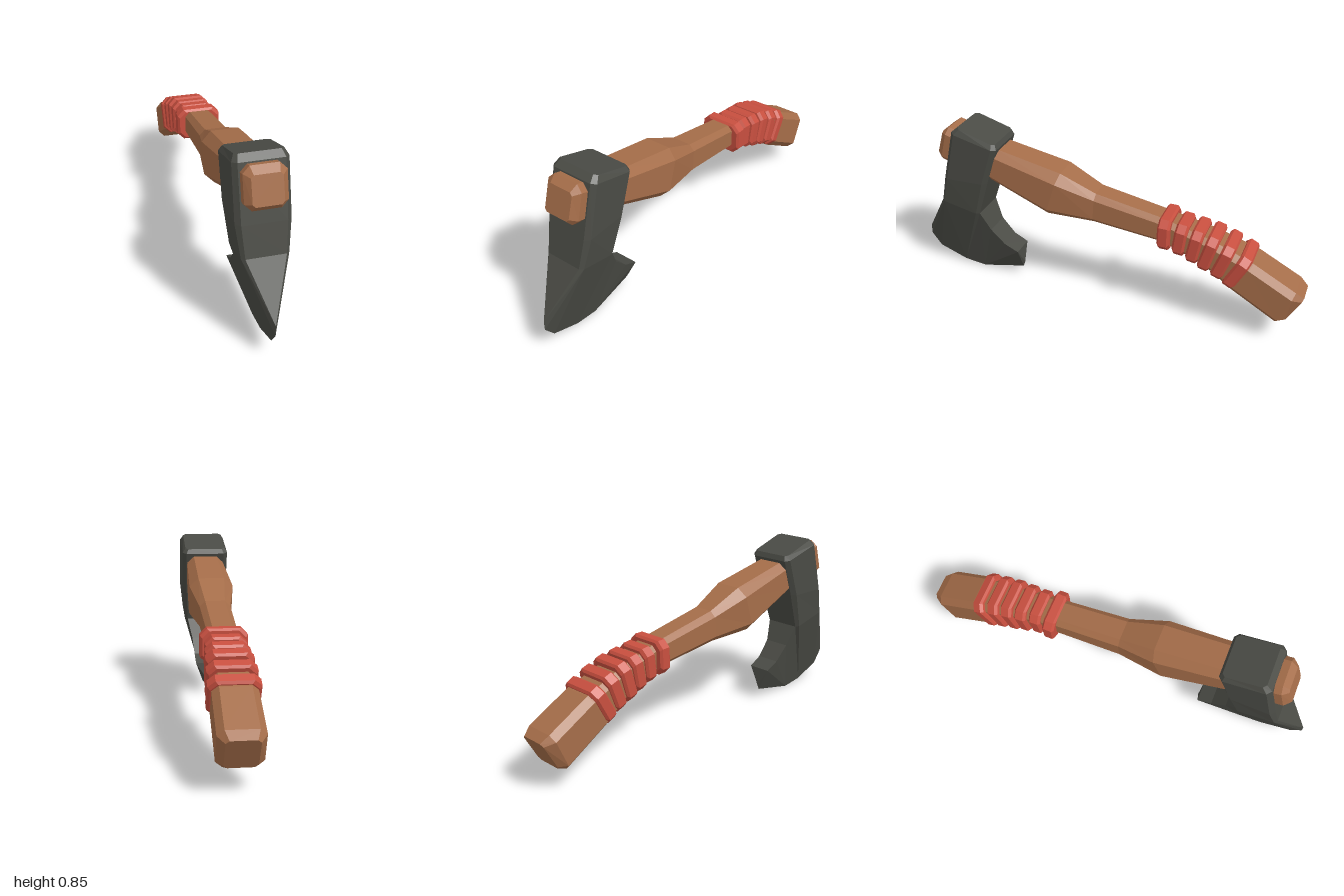
import * as THREE from 'three';

const material = (name, color) => {
  const m = new THREE.MeshStandardMaterial({ color });
  m.name = name;
  return m;
};

// Chamfered rectangle spanning two side-profile points a and b, given as [z, y]
function section(a, b, halfWidth, chamfer) {
  const t = chamfer / Math.hypot(a[0] - b[0], a[1] - b[1]);
  const w = halfWidth, n = halfWidth - chamfer;
  return [[n, 0], [w, t], [w, 1 - t], [n, 1], [-n, 1], [-w, 1 - t], [-w, t], [-n, 0]].map(([x, v]) =>
    new THREE.Vector3(x, a[1] + (b[1] - a[1]) * v, a[0] + (b[0] - a[0]) * v));
}

// Faceted geometry from triangles; a closed solid is turned outward by its signed volume
function facets(triangles) {
  const volume = triangles.reduce((s, [a, b, c]) => s + a.dot(b.clone().cross(c)), 0);
  const points = triangles.flatMap(([a, b, c]) => (volume < 0 ? [a, c, b] : [a, b, c]));
  const g = new THREE.BufferGeometry().setFromPoints(points);
  g.computeVertexNormals();
  return g;
}

function loftTriangles(rings, capEnd = true) {
  const out = [], n = rings[0].length;
  for (let r = 0; r < rings.length - 1; r++) {
    for (let i = 0; i < n; i++) {
      const j = (i + 1) % n, A = rings[r], B = rings[r + 1];
      out.push([A[i], A[j], B[j]], [A[i], B[j], B[i]]);
    }
  }
  const first = rings[0], last = rings[rings.length - 1];
  for (let i = 1; i < n - 1; i++) {
    out.push([first[0], first[i + 1], first[i]]);
    if (capEnd) out.push([last[0], last[i], last[i + 1]]);
  }
  return out;
}

function headGeometry() {
  // Eye block and neck
  const rings = [
    section([0.72, 0.85], [0.525, 0.79], 0.105, 0.015),
    section([0.75, 0.825], [0.515, 0.765], 0.12, 0.02),
    section([0.812, 0.57], [0.577, 0.575], 0.12, 0.022),
    section([0.845, 0.43], [0.64, 0.385], 0.103, 0.015),
  ];
  const tris = loftTriangles(rings, false);

  // Wedge: neck and beard rim, tapering to the cutting edge
  const neck = rings[3];
  const rim = [...neck.slice(0, 4),
    new THREE.Vector3(0.066, 0.285, 0.595),
    new THREE.Vector3(0.06, 0.21, 0.525),
    new THREE.Vector3(0.058, 0.175, 0.455)];
  const edge = [[0.995, 0.19], [0.995, 0.14], [0.945, 0.075], [0.8, 0.02],
    [0.685, 0.005], [0.455, 0.055], [0.445, 0.085]].map(([z, y]) => new THREE.Vector3(0, y, z));
  const mirror = (p) => new THREE.Vector3(-p.x, p.y, p.z);
  const addBoth = (a, b, c) => tris.push([a, b, c], [mirror(a), mirror(c), mirror(b)]);

  // Walk down both chains; each step advances the rim (r) or the edge (e)
  let r = 0, e = 0;
  for (const step of 'reeerrerrree') {
    if (step === 'r') {
      addBoth(rim[r], rim[r + 1], edge[e]);
      r++;
    } else {
      addBoth(rim[r], edge[e + 1], edge[e]);
      e++;
    }
  }
  // Front face, underside of the neck and beard tip
  tris.push([rim[0], edge[0], mirror(rim[0])]);
  for (let i = 3; i < 6; i++) {
    const a = rim[i], b = rim[i + 1];
    tris.push([a, mirror(a), mirror(b)], [a, mirror(b), b]);
  }
  tris.push([rim[6], mirror(rim[6]), edge[6]]);
  return facets(tris);
}

export function createModel() {
  const model = new THREE.Group();
  const wood = material('wood', 0xa56d49);
  const metal = material('dark metal', 0x4a4b45);
  const cloth = material('red wrap', 0xc84f3f);
  const add = (name, geometry, mat, parent = model) => {
    const mesh = new THREE.Mesh(geometry, mat);
    mesh.name = name;
    parent.add(mesh);
  };

  // Curved handle: top point, bottom point, half width, chamfer
  add('handle', facets(loftTriangles([
    section([0.82, 0.803], [0.857, 0.678], 0.066, 0.012),
    section([0.785, 0.828], [0.832, 0.648], 0.092, 0.03),
    section([0.527, 0.752], [0.575, 0.582], 0.096, 0.035),
    section([0.2, 0.685], [0.27, 0.455], 0.11, 0.045),
    section([0.025, 0.602], [0.035, 0.448], 0.075, 0.027),
    section([-0.3, 0.54], [-0.305, 0.41], 0.07, 0.024),
    section([-0.55, 0.478], [-0.51, 0.342], 0.085, 0.027),
    section([-0.755, 0.402], [-0.66, 0.238], 0.098, 0.03),
    section([-0.96, 0.292], [-0.88, 0.11], 0.1, 0.03),
    section([-0.998, 0.26], [-0.92, 0.12], 0.07, 0.015),
  ])), wood);

  add('axeHead', headGeometry(), metal);

  // Grip wraps: bevelled bands across the handle
  const grip = new THREE.Group();
  grip.name = 'gripWraps';
  model.add(grip);
  [
    [[-0.328, 0.55], [-0.326, 0.388], 0.108],
    [[-0.412, 0.532], [-0.392, 0.364], 0.094],
    [[-0.49, 0.517], [-0.458, 0.342], 0.1],
    [[-0.567, 0.502], [-0.515, 0.317], 0.105],
    [[-0.645, 0.472], [-0.58, 0.292], 0.109],
    [[-0.728, 0.432], [-0.637, 0.26], 0.113],
  ].forEach(([top, bottom, w], i) => {
    const up = new THREE.Vector2(top[0] - bottom[0], top[1] - bottom[1]).normalize();
    const at = (p, along, inset) => [p[0] + up.y * along + up.x * inset, p[1] - up.x * along + up.y * inset];
    const rings = [[-0.03, 0.01], [-0.02, 0], [0.02, 0], [0.03, 0.01]].map(([s, inset]) =>
      section(at(top, s, -inset), at(bottom, s, inset), w - inset, 0.032));
    add('wrap' + (i + 1), facets(loftTriangles(rings)), cloth, grip);
  });

  return model;
}
